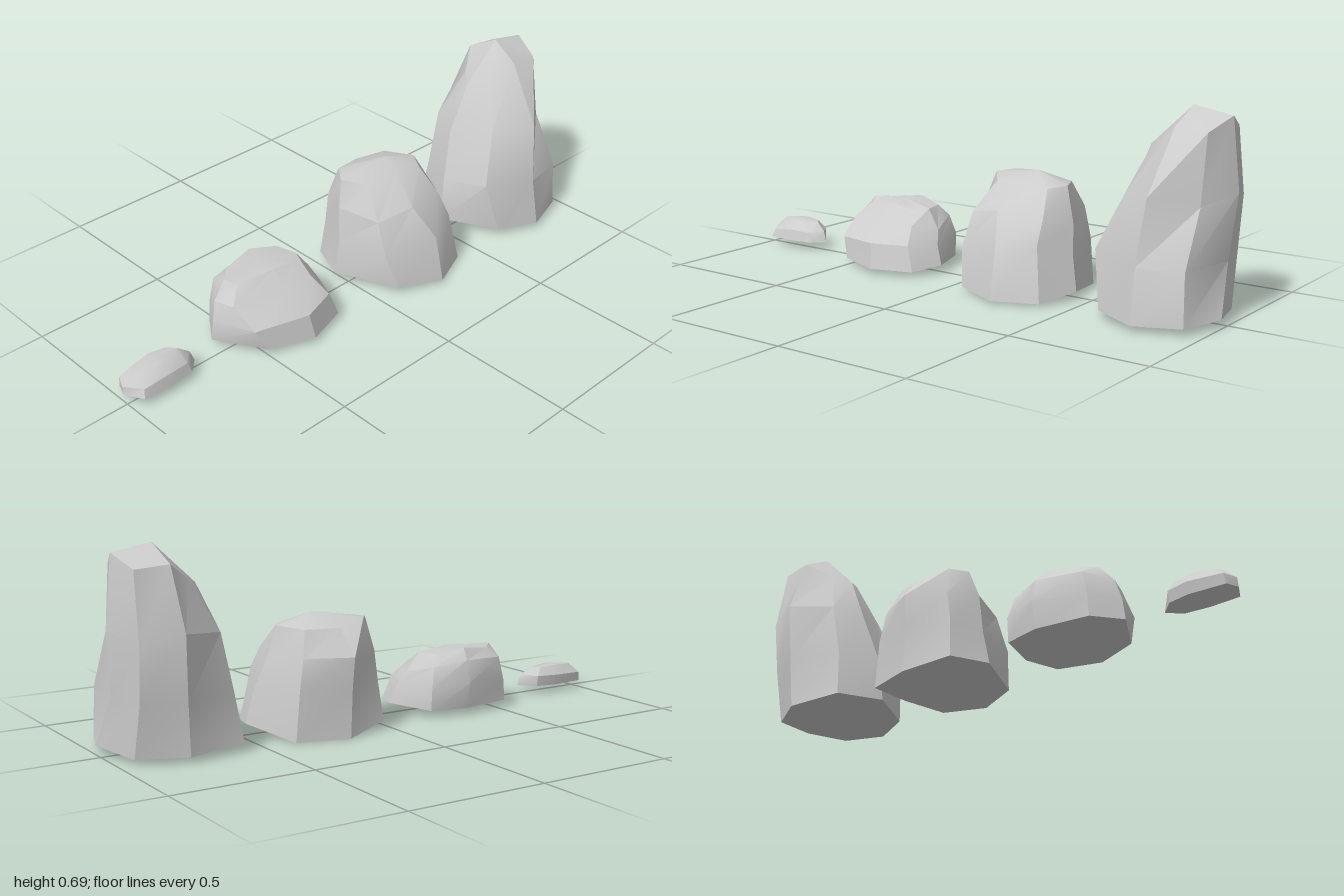
import * as THREE from 'three';
import { toCreasedNormals } from 'three/addons/utils/BufferGeometryUtils.js';

// Skins a rock through stacked eight-sided rings of [x, y, z] corners.
// Every ring starts at +x and runs through +z (front), -x and -z (back).
function makeRock(name, peak, ...rings) {
  const n = rings[0].length;
  const points = rings.flat();
  const top = points.push(peak) - 1;
  const centre = [0, 1, 2].map(k => rings[0].reduce((s, p) => s + p[k], 0) / n);
  const bottom = points.push(centre) - 1;
  const index = [];
  for (let j = 0; j < n; j++) {
    const next = (j + 1) % n;
    for (let r = 0; r < rings.length - 1; r++) {
      const a = r * n + j, b = r * n + next;
      index.push(a, a + n, b, b, a + n, b + n);
    }
    const last = (rings.length - 1) * n;
    index.push(last + j, top, last + next); // crown
    index.push(j, next, bottom);            // underside
  }
  const geometry = new THREE.BufferGeometry();
  geometry.setAttribute('position', new THREE.Float32BufferAttribute(points.flat(), 3));
  geometry.setIndex(index);
  const mesh = new THREE.Mesh(
    toCreasedNormals(geometry, THREE.MathUtils.degToRad(28)),
    new THREE.MeshStandardMaterial({ color: 0xcccccc })
  );
  mesh.name = name;
  return mesh;
}

export function createModel() {
  const group = new THREE.Group();
  group.name = 'rocks';

  // Flat pebble
  group.add(makeRock('pebble', [-0.87, 0.108, -0.025],
    [[-0.72, 0.03, 0], [-0.765, 0.03, 0.045], [-0.855, 0.03, 0.055], [-0.965, 0.03, 0.05],
     [-1, 0.03, -0.015], [-0.985, 0.03, -0.06], [-0.855, 0.03, -0.07], [-0.775, 0.03, -0.055]],
    [[-0.735, 0.07, -0.005], [-0.775, 0.065, 0.035], [-0.86, 0.07, 0.045], [-0.955, 0.06, 0.04],
     [-1, 0.06, -0.02], [-0.98, 0.065, -0.065], [-0.855, 0.07, -0.078], [-0.775, 0.07, -0.06]],
    [[-0.775, 0.1, -0.015], [-0.8, 0.095, 0.005], [-0.865, 0.1, 0.01], [-0.94, 0.09, 0],
     [-0.955, 0.098, -0.025], [-0.935, 0.1, -0.045], [-0.865, 0.105, -0.055], [-0.8, 0.1, -0.045]]));

  // Low boulder
  group.add(makeRock('lowBoulder', [-0.38, 0.24, -0.07],
    [[-0.135, 0.03, 0.02], [-0.18, 0.02, 0.135], [-0.335, 0.02, 0.185], [-0.5, 0.025, 0.125],
     [-0.605, 0.025, -0.05], [-0.535, 0.025, -0.15], [-0.34, 0.025, -0.18], [-0.2, 0.025, -0.15]],
    [[-0.16, 0.1, 0.01], [-0.21, 0.11, 0.12], [-0.345, 0.11, 0.165], [-0.535, 0.1, 0.1],
     [-0.595, 0.1, -0.05], [-0.53, 0.1, -0.15], [-0.34, 0.12, -0.195], [-0.2, 0.11, -0.155]],
    [[-0.18, 0.15, -0.02], [-0.24, 0.17, 0.06], [-0.36, 0.175, 0.06], [-0.55, 0.165, 0.01],
     [-0.575, 0.17, -0.06], [-0.51, 0.19, -0.145], [-0.34, 0.2, -0.175], [-0.22, 0.18, -0.14]],
    [[-0.23, 0.22, -0.03], [-0.26, 0.21, -0.01], [-0.36, 0.225, 0], [-0.5, 0.215, -0.03],
     [-0.52, 0.23, -0.07], [-0.47, 0.225, -0.12], [-0.35, 0.24, -0.14], [-0.25, 0.22, -0.11]]));

  // Round boulder
  group.add(makeRock('roundBoulder', [0.24, 0.415, -0.05],
    [[0.455, 0.03, 0.035], [0.4, 0.01, 0.18], [0.245, 0.01, 0.245], [0.08, 0.02, 0.18],
     [-0.025, 0.03, -0.045], [0.03, 0.03, -0.185], [0.2, 0, -0.24], [0.385, 0, -0.19]],
    [[0.43, 0.15, 0.02], [0.37, 0.2, 0.15], [0.24, 0.18, 0.21], [0.05, 0.15, 0.14],
     [0, 0.15, -0.05], [0.045, 0.17, -0.17], [0.19, 0.17, -0.235], [0.37, 0.17, -0.19]],
    [[0.405, 0.25, -0.02], [0.36, 0.28, 0.1], [0.195, 0.295, 0.13], [0.06, 0.27, 0.09],
     [0.01, 0.29, -0.06], [0.06, 0.28, -0.17], [0.19, 0.28, -0.25], [0.35, 0.28, -0.18]],
    [[0.37, 0.375, -0.035], [0.33, 0.37, 0.03], [0.22, 0.385, 0.02], [0.1, 0.37, 0],
     [0.04, 0.385, -0.08], [0.085, 0.39, -0.14], [0.2, 0.37, -0.17], [0.32, 0.37, -0.14]]));

  // Tall standing stone
  group.add(makeRock('standingStone', [0.83, 0.69, -0.055],
    [[1, 0.03, 0.045], [0.945, 0.025, 0.195], [0.785, 0.02, 0.245], [0.63, 0.03, 0.18],
     [0.52, 0.035, -0.02], [0.58, 0.03, -0.19], [0.79, 0.02, -0.225], [0.945, 0.015, -0.14]],
    [[0.975, 0.2, -0.04], [0.94, 0.2, 0.185], [0.78, 0.2, 0.215], [0.59, 0.22, 0.14],
     [0.54, 0.2, -0.03], [0.605, 0.2, -0.17], [0.8, 0.2, -0.235], [0.94, 0.2, -0.18]],
    [[0.995, 0.42, -0.06], [0.935, 0.39, 0.085], [0.8, 0.42, 0.185], [0.67, 0.41, 0.09],
     [0.6, 0.38, -0.06], [0.65, 0.4, -0.17], [0.81, 0.42, -0.25], [0.945, 0.39, -0.2]],
    [[0.97, 0.665, -0.055], [0.935, 0.62, 0.05], [0.82, 0.63, 0.05], [0.73, 0.57, 0.02],
     [0.68, 0.55, -0.055], [0.73, 0.57, -0.11], [0.82, 0.63, -0.17], [0.94, 0.62, -0.16]]));

  return group;
}
